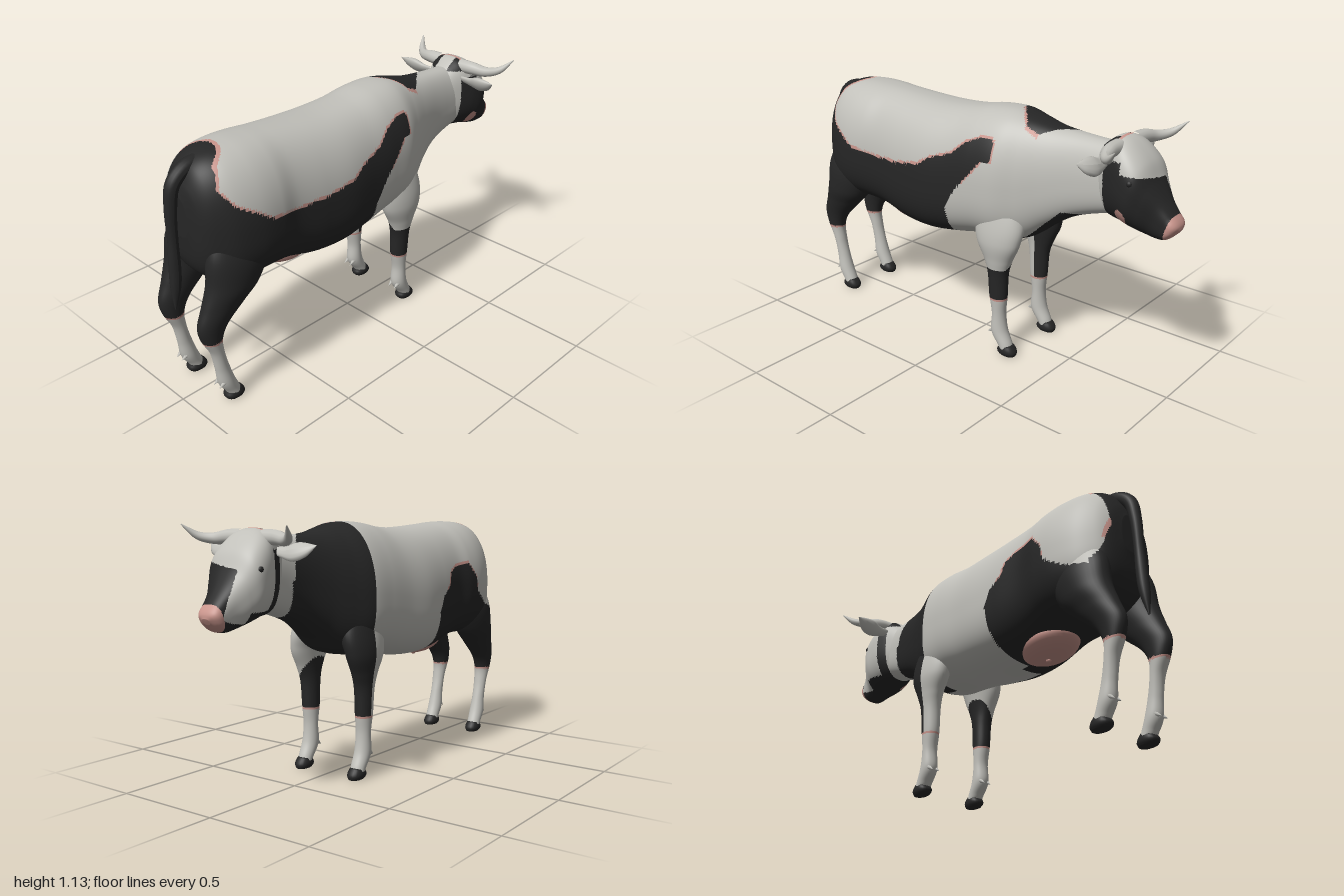
import * as THREE from 'three';

const mat = (name, color) => {
  const m = new THREE.MeshStandardMaterial({ color });
  m.name = name;
  return m;
};
const WHITE = 0, BLACK = 1, PINK = 2;

// Outlines of the large side patches, as x, y
const patchNear = [[-1.1, 1.2], [-0.8, 1.13], [-0.85, 1.0], [-0.8, 0.93], [-0.71, 0.88], [-0.65, 0.84], [-0.5, 0.82],
  [-0.35, 0.825], [-0.2, 0.85], [-0.14, 0.89], [-0.02, 0.93], [0.05, 0.99], [0.12, 1.02], [0.18, 1.025], [0.19, 1.01], [0.19, 0.93],
  [0.14, 0.92], [0.08, 0.85], [0, 0.76], [-0.05, 0.67], [-0.05, 0.6], [-0.09, 0.4], [-0.3, 0], [-1.1, 0]];
const patchFar = [[-0.32, 0], [-0.3, 0.55], [-0.29, 0.7], [-0.33, 0.78], [-0.39, 0.82], [-0.41, 0.88], [-0.47, 0.91],
  [-0.58, 0.92], [-0.64, 0.85], [-0.66, 0.77], [-0.75, 0.71], [-0.86, 0.68], [-0.9, 0.78], [-0.93, 0.95], [-1.1, 0.95], [-1.1, 0]];

function inside(poly, x, y) {
  let hit = false;
  poly.forEach(([ax, ay], i) => {
    const [bx, by] = poly[(i + 1) % poly.length];
    if ((ay > y) !== (by > y) && x < ((bx - ax) * (y - ay)) / (by - ay) + ax) hit = !hit;
  });
  return hit;
}

// Coat colour of the body and legs
function coat({ x, y, z }) {
  if (x > 0 && y < 0.28) return y > 0.27 ? PINK : WHITE;
  if (x < -0.8 && y < 0.34) return y > 0.33 ? PINK : WHITE;
  // Rounded patch over the tail root
  const root = Math.hypot(Math.max(0, x + 0.87) / 0.12, z / 0.105);
  if (y > 0.9 && root < 1) return BLACK;
  if (y > 0.9 && root < 1.15 && x > -0.83) return PINK;
  if (x < -0.85 && z > -0.1) return BLACK;
  // Pale strip under the belly
  if (x > -0.26 && x < 0.1 && z > 0 && z < 0.12 && y < 0.56) return WHITE;
  const patch = z > 0 ? patchNear : patchFar;
  if (inside(patch, x, y)) return BLACK;
  if (y > 0.8 && (inside(patch, x, y - 0.01) || inside(patch, x - 0.01, y))) return PINK;
  // Shoulder and chest patch, with its edge across the back
  if (x > 0.06 && z > 0 && y < 0.43 + Math.max(0, 0.17 - z) * 1.3 && y < 0.53) return BLACK;
  if (x > 0.2 && x < 0.6) {
    const across = x < 0.3 ? 0.09 - (0.3 - x) * 1.2 : x < 0.36 ? 0.09 : 0.09 - (x - 0.36) * 0.82;
    const edge = y > 0.9 ? across : y < 0.74 ? 0.09 : 0;
    if (z < edge && !(x < 0.28 && z > 0 && y < 0.6)) return BLACK;
    if (y > 1 && x < 0.36 && z < edge + 0.013) return PINK;
  }
  return WHITE;
}

// Coat colour of the head
function faceCoat({ x, y, z }) {
  if (x > 0.95 + (y - 0.75) * 0.3) return PINK;
  if (Math.hypot((x - 0.78) / 0.026, (y - 0.8) / 0.036) < 1 && z > 0.05) return PINK;
  if (y > 1.06 && x < 0.74) return x > 0.725 ? PINK : Math.abs(z) > 0.035 ? BLACK : WHITE;
  if (y < 1.03 && x > 0.69 && x < (z > 0 ? 0.78 : 0.74)) return BLACK;
  if (z > -0.06 && x >= 0.78 && y < 0.965 + z * 0.15) return BLACK;
  if (z < 0 && y < 0.79 && x > 0.73 && x < 0.85) return BLACK;
  return WHITE;
}

// Smooth skin through sections [x0, y0, x1, y1, halfWidth]: two opposite points and a half width in z;
// sag lowers the widest line of each section
function loft(sections, rows, cols, zc = 0, power = 1, sag = 0) {
  const spline = (f) => new THREE.CatmullRomCurve3(sections.map(f), false, 'catmullrom');
  const first = spline((s) => new THREE.Vector3(s[0], s[1], s[4]));
  const second = spline((s) => new THREE.Vector3(s[2], s[3], s[5] ?? 0));
  const bend = (v) => Math.sign(v) * Math.abs(v) ** power;
  const pos = [], index = [];
  for (let i = 0; i <= rows; i++) {
    const a = first.getPoint(i / rows), b = second.getPoint(i / rows);
    for (let j = 0; j < cols; j++) {
      const t = (j / cols) * Math.PI * 2, c = (1 + bend(Math.cos(t))) / 2 - sag * Math.sin(t) ** 2;
      pos.push(b.x + (a.x - b.x) * c, b.y + (a.y - b.y) * c, Math.sign(zc) * b.z + a.z * bend(Math.sin(t)));
      if (i === rows) continue;
      const p = i * cols + j, q = i * cols + ((j + 1) % cols);
      index.push(p, q, p + cols, q, q + cols, p + cols);
    }
  }
  // End caps
  for (const [row, end] of [[0, 0], [rows, 1]]) {
    const a = first.getPoint(end), b = second.getPoint(end), n = pos.length / 3;
    pos.push((a.x + b.x) / 2, (a.y + b.y) / 2, Math.sign(zc) * b.z);
    for (let j = 0; j < cols; j++) {
      const p = row * cols + j, q = row * cols + ((j + 1) % cols);
      index.push(n, end ? p : q, end ? q : p);
    }
  }
  const g = new THREE.BufferGeometry();
  g.setAttribute('position', new THREE.Float32BufferAttribute(pos, 3));
  g.setIndex(index);
  g.computeVertexNormals();
  return g;
}

// Sorts the faces into one material group per colour
function paint(g, rule) {
  const p = g.attributes.position, buckets = [[], [], []], v = new THREE.Vector3(), c = new THREE.Vector3();
  const idx = g.index.array;
  for (let i = 0; i < idx.length; i += 3) {
    c.set(0, 0, 0);
    for (let k = 0; k < 3; k++) c.add(v.fromBufferAttribute(p, idx[i + k]));
    buckets[rule(c.divideScalar(3))].push(idx[i], idx[i + 1], idx[i + 2]);
  }
  g.setIndex(buckets.flat());
  let start = 0;
  buckets.forEach((b, i) => { g.addGroup(start, b.length, i); start += b.length; });
  return g;
}

// Tube whose radius follows a list of values
function taperedTube(points, radii, rows = 28, cols = 14) {
  const curve = new THREE.CatmullRomCurve3(points.map((p) => new THREE.Vector3(...p)));
  const g = new THREE.TubeGeometry(curve, rows, 1, cols), p = g.attributes.position, v = new THREE.Vector3();
  const size = new THREE.CatmullRomCurve3(radii.map((r, i) => new THREE.Vector3(r, i, 0)), false, 'catmullrom');
  for (let i = 0; i < p.count; i++) {
    const t = Math.floor(i / (cols + 1)) / rows, c = curve.getPointAt(t);
    v.fromBufferAttribute(p, i).sub(c).multiplyScalar(size.getPoint(t).x).add(c);
    p.setXYZ(i, v.x, v.y, v.z);
  }
  g.computeVertexNormals();
  return g;
}

export function createModel() {
  const cow = new THREE.Group();
  cow.name = 'cow';
  const white = mat('white coat', 0xc1c0ba), black = mat('black coat', 0x262626), pink = mat('pink skin', 0xc9958c);
  const hide = [white, black, pink];
  const add = (name, geometry, material) => {
    const m = new THREE.Mesh(geometry, material);
    m.name = name;
    cow.add(m);
    return m;
  };

  // Trunk and neck: top y, bottom y, half width at each x
  const trunk = [[-0.928, 0.95, 0.78, 0.05], [-0.91, 1.01, 0.66, 0.12], [-0.87, 1.075, 0.59, 0.17], [-0.8, 1.113, 0.55, 0.215],
    [-0.7, 1.124, 0.545, 0.24], [-0.6, 1.122, 0.545, 0.242], [-0.5, 1.115, 0.53, 0.23], [-0.35, 1.105, 0.495, 0.243],
    [-0.2, 1.1, 0.49, 0.252], [-0.05, 1.108, 0.51, 0.24], [0.08, 1.128, 0.535, 0.232], [0.2, 1.132, 0.54, 0.219],
    [0.3, 1.112, 0.565, 0.178], [0.4, 1.09, 0.64, 0.135], [0.5, 1.08, 0.705, 0.105], [0.6, 1.074, 0.745, 0.092],
    [0.72, 1.07, 0.78, 0.09]].map(([x, t, b, w]) => [x, t, x, b, w]);
  add('body', paint(loft(trunk, 230, 140, 0, 0.82, 0.07), coat), hide);

  // Head, from the poll to the nose
  const head = [[0.61, 1.03, 0.62, 0.81, 0.06], [0.67, 1.085, 0.665, 0.778, 0.092], [0.72, 1.112, 0.7, 0.764, 0.113],
    [0.78, 1.095, 0.75, 0.758, 0.132], [0.85, 1.03, 0.79, 0.748, 0.135], [0.89, 0.95, 0.83, 0.735, 0.11],
    [0.93, 0.885, 0.87, 0.722, 0.077], [0.965, 0.84, 0.905, 0.715, 0.063], [0.988, 0.812, 0.94, 0.718, 0.058],
    [0.998, 0.793, 0.965, 0.733, 0.044], [1.0, 0.775, 0.985, 0.752, 0.018]];
  add('head', paint(loft(head, 120, 88, 0, 0.8, -0.05), faceCoat), hide);

  // Udder
  const udder = add('udder', new THREE.SphereGeometry(1, 32, 20), pink);
  udder.scale.set(0.145, 0.065, 0.12);
  udder.position.set(-0.44, 0.537, 0);
  udder.rotation.z = -0.12;
  const teat = add('teat', new THREE.SphereGeometry(0.012, 10, 8), pink);
  teat.position.set(-0.43, 0.471, 0);

  // Tail
  add('tail', taperedTube([[-0.8, 1.075, 0], [-0.88, 1.06, 0], [-0.94, 1.01, 0], [-0.96, 0.92, 0], [-0.966, 0.75, 0],
    [-0.972, 0.6, 0], [-0.986, 0.46, 0]], [0.03, 0.032, 0.028, 0.024, 0.022, 0.025, 0.022, 0.003], 48), black);

  // Leg sections: front point, back point, half width, distance from the middle
  const foreLeg = [[0.24, 0.85, 0.12, 0.85, 0.03, 0.12], [0.32, 0.67, 0.07, 0.67, 0.068, 0.135], [0.315, 0.56, 0.085, 0.56, 0.063, 0.157],
    [0.275, 0.47, 0.13, 0.47, 0.05, 0.158], [0.252, 0.4, 0.15, 0.4, 0.043, 0.155], [0.245, 0.29, 0.157, 0.29, 0.039, 0.153],
    [0.237, 0.2, 0.172, 0.2, 0.035, 0.152], [0.247, 0.12, 0.168, 0.11, 0.038, 0.152], [0.272, 0.06, 0.205, 0.05, 0.035, 0.152],
    [0.28, 0.035, 0.22, 0.03, 0.034, 0.152]];
  const hindLeg = [[-0.63, 0.84, -0.83, 0.87, 0.02, 0.12], [-0.6, 0.7, -0.902, 0.72, 0.078, 0.135], [-0.665, 0.57, -0.92, 0.59, 0.08, 0.14],
    [-0.745, 0.49, -0.95, 0.5, 0.062, 0.137], [-0.83, 0.41, -0.978, 0.42, 0.046, 0.134], [-0.868, 0.34, -0.965, 0.35, 0.039, 0.132],
    [-0.865, 0.26, -0.927, 0.27, 0.033, 0.132], [-0.846, 0.18, -0.91, 0.18, 0.031, 0.132], [-0.825, 0.11, -0.9, 0.1, 0.036, 0.132],
    [-0.805, 0.06, -0.872, 0.05, 0.034, 0.132], [-0.795, 0.035, -0.86, 0.03, 0.034, 0.132]];
  const hoof = (x, z) => [[x + 0.058, 0.052, x - 0.01, 0.035, 0.031, z], [x + 0.073, 0.033, x - 0.017, 0.022, 0.036, z],
    [x + 0.08, 0.016, x - 0.014, 0.01, 0.035, z], [x + 0.075, 0, x - 0.005, 0, 0.027, z]];

  for (const s of [1, -1]) {
    add('frontLeg', paint(loft(foreLeg, 90, 40, s), coat), hide);
    add('hindLeg', paint(loft(hindLeg, 90, 40, s), coat), hide);
    add('frontHoof', loft(hoof(0.222, 0.152), 10, 24, s, 0.85), black);
    add('hindHoof', loft(hoof(-0.857, 0.132), 10, 24, s, 0.85), black);

    // Dewclaws
    for (const [x, z] of [[0.168, 0.152], [-0.9, 0.132]]) for (const d of [-0.018, 0.018]) {
      const claw = add('dewclaw', new THREE.ConeGeometry(0.012, 0.035, 8), white);
      claw.position.set(x, 0.102, s * z + d);
      claw.rotation.z = 2.1;
    }

    // Horns
    add('horn', taperedTube([[0.73, 1.075, s * 0.06], [0.735, 1.075, s * 0.13], [0.755, 1.068, s * 0.19], [0.795, 1.078, s * 0.24],
      [0.85, 1.125, s * 0.282]], [0.033, 0.03, 0.023, 0.015, 0.002]), white);

    // Ears: flattened leaves
    const leaf = [[0, 0, 0], [0, -0.005, s * 0.07], [0, 0.005, s * 0.13], [0, 0.03, s * 0.19]];
    const ear = add('ear', taperedTube(leaf, [0.018, 0.027, 0.042, 0.032, 0.001]), white);
    ear.scale.x = 0.5;
    ear.rotation.z = 0.6;
    ear.position.set(0.7, 1.022, s * 0.095);

    // Eyes
    const eye = add('eye', new THREE.SphereGeometry(0.014, 16, 12), black);
    eye.position.set(0.825, 0.957, s * 0.124);
  }
  return cow;
}
